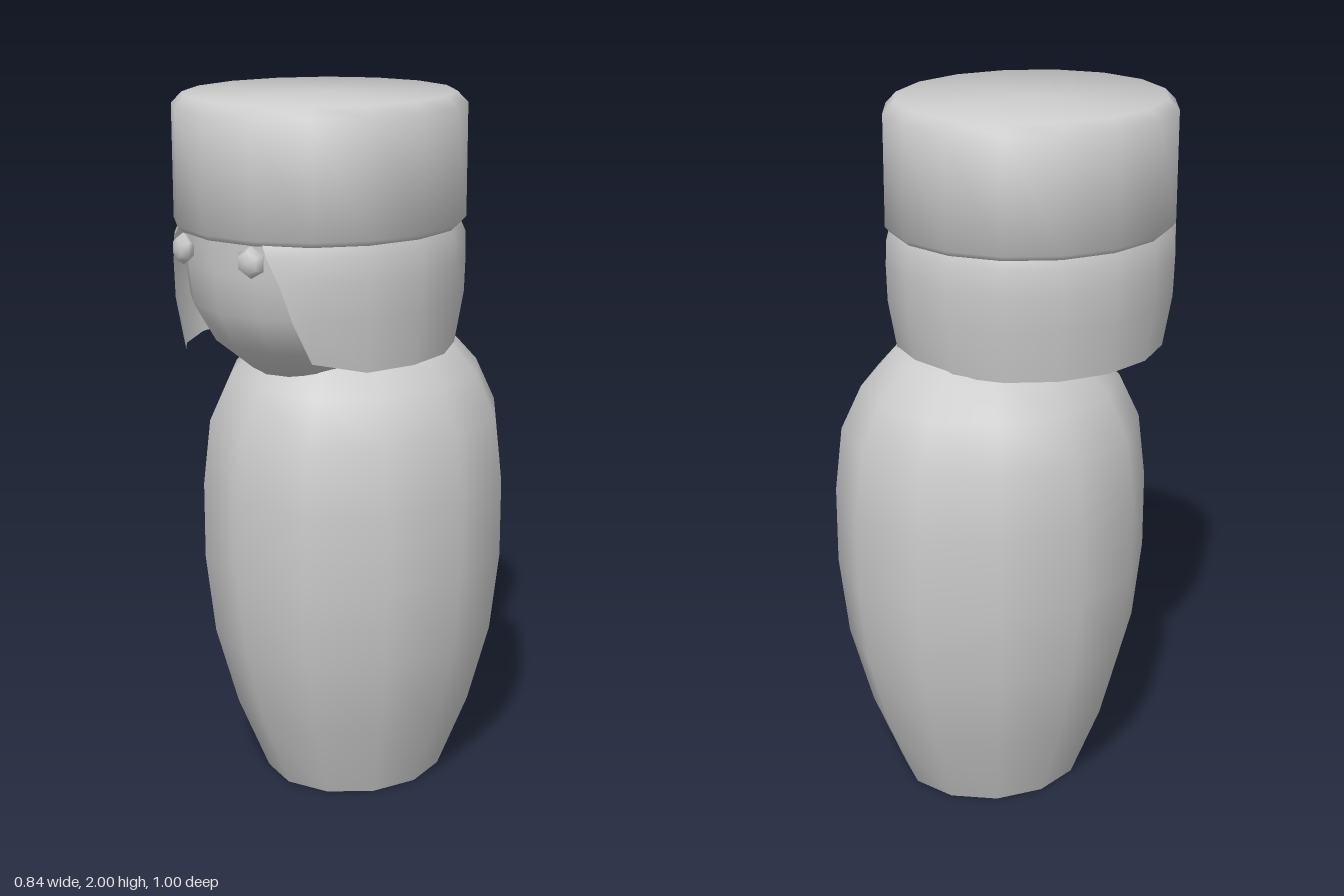
import * as THREE from 'three';
import { toCreasedNormals } from 'three/addons/utils/BufferGeometryUtils.js';

const material = new THREE.MeshStandardMaterial({ color: 0xcccccc });
const HEAD_Z = 0.085;
const HEAD_DEPTH = 1.072; // depth of the oval head relative to its width

// Oval solid of revolution from [radius, height] pairs, bottom to top
function ovalLathe(profile, sides, depth) {
  const points = profile.map(([r, y]) => new THREE.Vector2(r, y));
  return new THREE.LatheGeometry(points, sides).scale(1, 1, depth);
}

function addPart(group, name, geometry, z = 0, mat = material) {
  const mesh = new THREE.Mesh(geometry, mat);
  mesh.name = name;
  mesh.position.z = z;
  group.add(mesh);
  return mesh;
}

// Open shell round the head; each row: y, radius, right edge angle, left edge angle (degrees from front)
function hairGeometry() {
  const rows = [
    [1.305, 0.36, 33, 45],
    [1.45, 0.384, 34, 38],
    [1.55, 0.387, 34, 33],
    [1.62, 0.385, 33, 28],
    [1.66, 0.368, 31, 25],
  ];
  const inner = 14; // fixed columns every 22.5 degrees between the two edges
  const positions = [];
  const indices = [];
  rows.forEach(([y, r, right, left], i) => {
    const angles = [left];
    for (let k = 2; k <= inner; k++) angles.push(Math.max(left, k * 22.5));
    angles.push(360 - right);
    angles.forEach((deg, j) => {
      const a = THREE.MathUtils.degToRad(deg);
      const lift = i === 0 && j < 2 ? 0.03 : 0; // left front corner is trimmed shorter
      positions.push(r * Math.sin(a), y + lift, r * HEAD_DEPTH * Math.cos(a));
    });
  });
  const n = inner + 1;
  for (let i = 0; i < rows.length - 1; i++) {
    for (let j = 0; j < n - 1; j++) {
      const a = i * n + j;
      indices.push(a, a + 1, a + n, a + 1, a + n + 1, a + n);
    }
  }
  const geometry = new THREE.BufferGeometry();
  geometry.setAttribute('position', new THREE.Float32BufferAttribute(positions, 3));
  geometry.setIndex(indices);
  geometry.computeVertexNormals();
  return geometry;
}

export function createModel() {
  const model = new THREE.Group();
  model.name = 'figurine';

  // Barrel-shaped body with a flat foot
  const body = ovalLathe([
    [0, 0], [0.25, 0], [0.335, 0.22], [0.395, 0.45], [0.42, 0.68], [0.42, 0.9],
    [0.4, 1.085], [0.345, 1.21], [0.26, 1.31], [0.15, 1.36], [0, 1.38],
  ], 12, 1.083);
  addPart(model, 'body', toCreasedNormals(body, Math.PI / 3), -0.05);

  // Face, with the jaw line rising toward the back
  const face = ovalLathe([
    [0, 1.25], [0.19, 1.25], [0.29, 1.34], [0.347, 1.444], [0.36, 1.56], [0.363, 1.66],
  ], 16, HEAD_DEPTH);
  const p = face.attributes.position;
  for (let i = 0; i < p.count; i++) {
    if (p.getY(i) < 1.3) p.setY(i, p.getY(i) + (0.2 - p.getZ(i)) * 0.21);
  }
  addPart(model, 'face', toCreasedNormals(face, Math.PI / 3), HEAD_Z);

  // Hair around the sides and back
  const hairMaterial = material.clone();
  hairMaterial.side = THREE.DoubleSide;
  addPart(model, 'hair', hairGeometry(), HEAD_Z, hairMaterial);

  // Tall flat hat with bevelled rims
  const hat = ovalLathe([
    [0, 1.645], [0.374, 1.645], [0.387, 1.66], [0.387, 1.97], [0.358, 2], [0, 2],
  ], 16, HEAD_DEPTH);
  addPart(model, 'hat', toCreasedNormals(hat, Math.PI / 3), HEAD_Z);

  // Bead eyes
  for (const side of [-1, 1]) {
    const eye = new THREE.SphereGeometry(0.043, 6, 4).rotateX(Math.PI / 2).scale(1, 1, 0.65);
    eye.rotateZ(Math.PI / 6);
    const mesh = addPart(model, side > 0 ? 'leftEye' : 'rightEye', eye, 0.46);
    mesh.position.x = side * 0.135;
    mesh.position.y = 1.602;
    mesh.rotation.y = side * 0.3;
  }
  return model;
}
